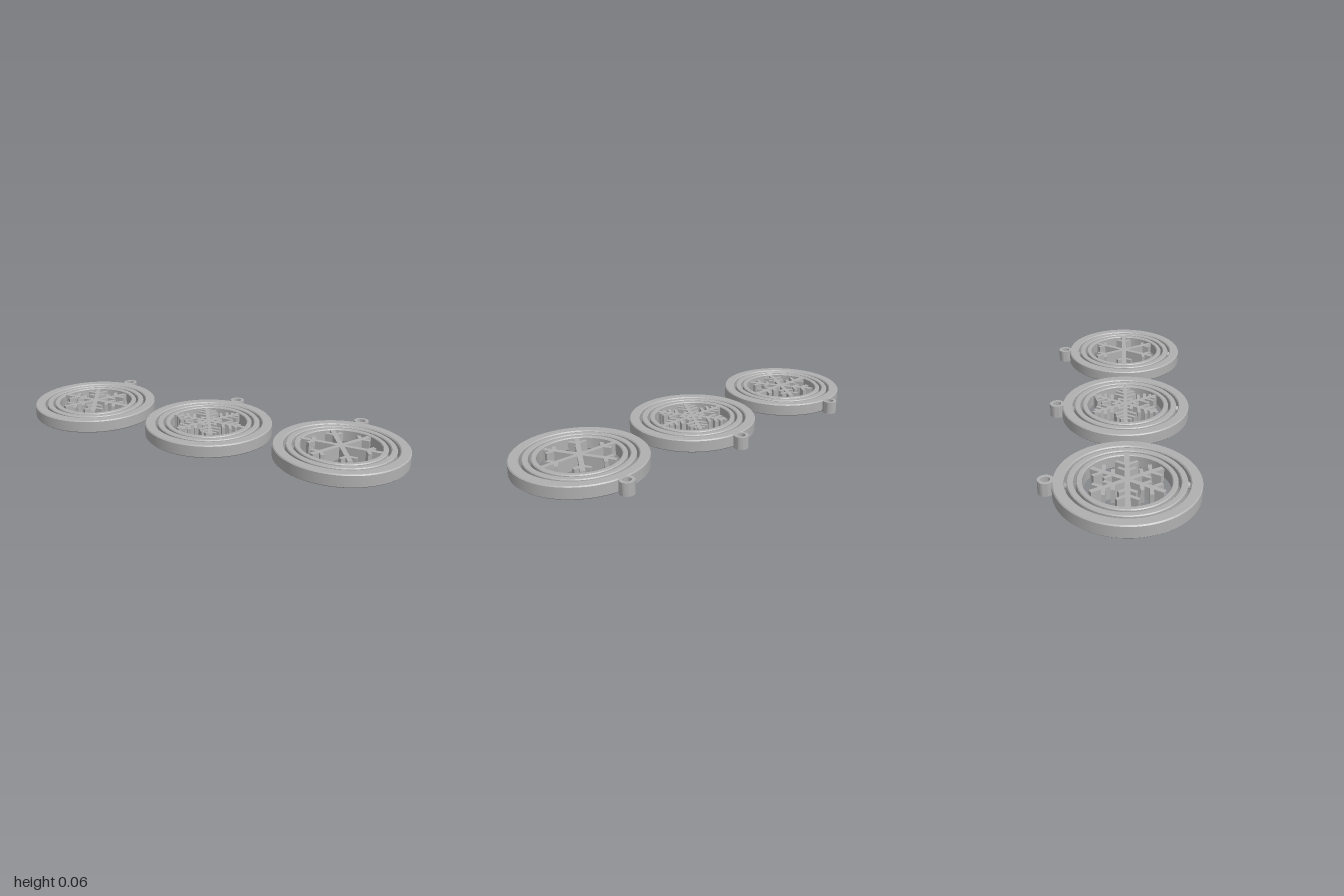
import * as THREE from 'three';
import { toCreasedNormals } from 'three/addons/utils/BufferGeometryUtils.js';

const H = 0.063; // thickness of every part
const CENTRE_Z = 0.031;
const SPACING = 0.683;

// One entry per ornament: arm width and branches as [start radius, length, width]
const FLAKES = [
  { arm: 0.023, reach: 0.178, branches: [[0.07, 0.045, 0.017], [0.115, 0.055, 0.017]] },
  { arm: 0.019, reach: 0.182, branches: [[0.035, 0.04, 0.014], [0.078, 0.06, 0.015], [0.115, 0.052, 0.015], [0.147, 0.03, 0.014]] },
  { arm: 0.023, reach: 0.18, branches: [[0.125, 0.045, 0.018]] },
];

export function createModel() {
  const grey = new THREE.MeshStandardMaterial({ color: 0xb0b0b0 });
  grey.name = 'grey plastic';

  const add = (parent, name, geometry) => {
    const mesh = new THREE.Mesh(geometry, grey);
    mesh.name = name;
    parent.add(mesh);
    return mesh;
  };

  // Flat ring with chamfered edges
  const ringGeometry = (inner, outer, c) => {
    const profile = [
      [inner + c, 0], [outer - c, 0], [outer, c], [outer, H - c],
      [outer - c, H], [inner + c, H], [inner, H - c], [inner, c], [inner + c, 0],
    ].map(([r, y]) => new THREE.Vector2(r, y));
    return toCreasedNormals(new THREE.LatheGeometry(profile, 96), 0.5);
  };

  // Hanging eyelet: an upright tube
  const eyeletGeometry = () => {
    const shape = new THREE.Shape().absarc(0, 0, 0.036, 0, Math.PI * 2);
    shape.holes.push(new THREE.Path().absarc(0, 0, 0.02, 0, Math.PI * 2, true));
    const g = new THREE.ExtrudeGeometry(shape, { depth: H, bevelEnabled: false, curveSegments: 24 });
    return toCreasedNormals(g.rotateX(-Math.PI / 2), 0.6);
  };

  // Bar lying along +x from a start radius
  const barGeometry = (length, width) =>
    new THREE.BoxGeometry(length, H, width).translate(length / 2, H / 2, 0);

  const makeFlake = ({ arm, reach, branches }) => {
    const flake = new THREE.Group();
    flake.name = 'snowflake';
    for (let i = 0; i < 6; i++) {
      const spoke = new THREE.Group();
      spoke.name = 'snowflakeArm';
      spoke.rotation.y = (i * Math.PI) / 3;
      // The two horizontal arms run on into the inner ring
      add(spoke, 'armBar', barGeometry(i % 3 === 0 ? 0.212 : reach, arm));
      for (const [start, length, width] of branches) {
        for (const side of [-1, 1]) {
          const branch = add(spoke, 'branch', barGeometry(length, width));
          branch.position.x = start;
          branch.rotation.y = (side * Math.PI) / 3;
        }
      }
      flake.add(spoke);
    }
    return flake;
  };

  // Tapered pivot pin pointing outward between two rings
  const addPivot = (parent, radius, angle) => {
    const g = new THREE.CylinderGeometry(0.008, 0.02, 0.03, 24);
    g.rotateZ(-Math.PI / 2).translate(radius, H / 2, 0);
    add(parent, 'pivotPin', g).rotation.y = angle;
  };

  const model = new THREE.Group();
  model.name = 'snowflakeOrnaments';
  FLAKES.forEach((spec, i) => {
    const ornament = new THREE.Group();
    ornament.name = 'ornament';
    ornament.position.set((i - 1) * SPACING, 0, CENTRE_Z);

    add(ornament, 'outerRing', ringGeometry(0.266, 0.317, 0.005));
    add(ornament, 'middleRing', ringGeometry(0.226, 0.255, 0.004));
    add(ornament, 'innerRing', ringGeometry(0.19, 0.215, 0.004));
    add(ornament, 'eyelet', eyeletGeometry()).position.z = -0.343;

    // Middle ring turns front to back, inner ring side to side
    for (const turn of [0, Math.PI]) {
      addPivot(ornament, 0.262, Math.PI / 2 + turn);
      addPivot(ornament, 0.22, turn);
    }
    ornament.add(makeFlake(spec));
    model.add(ornament);
  });
  return model;
}
